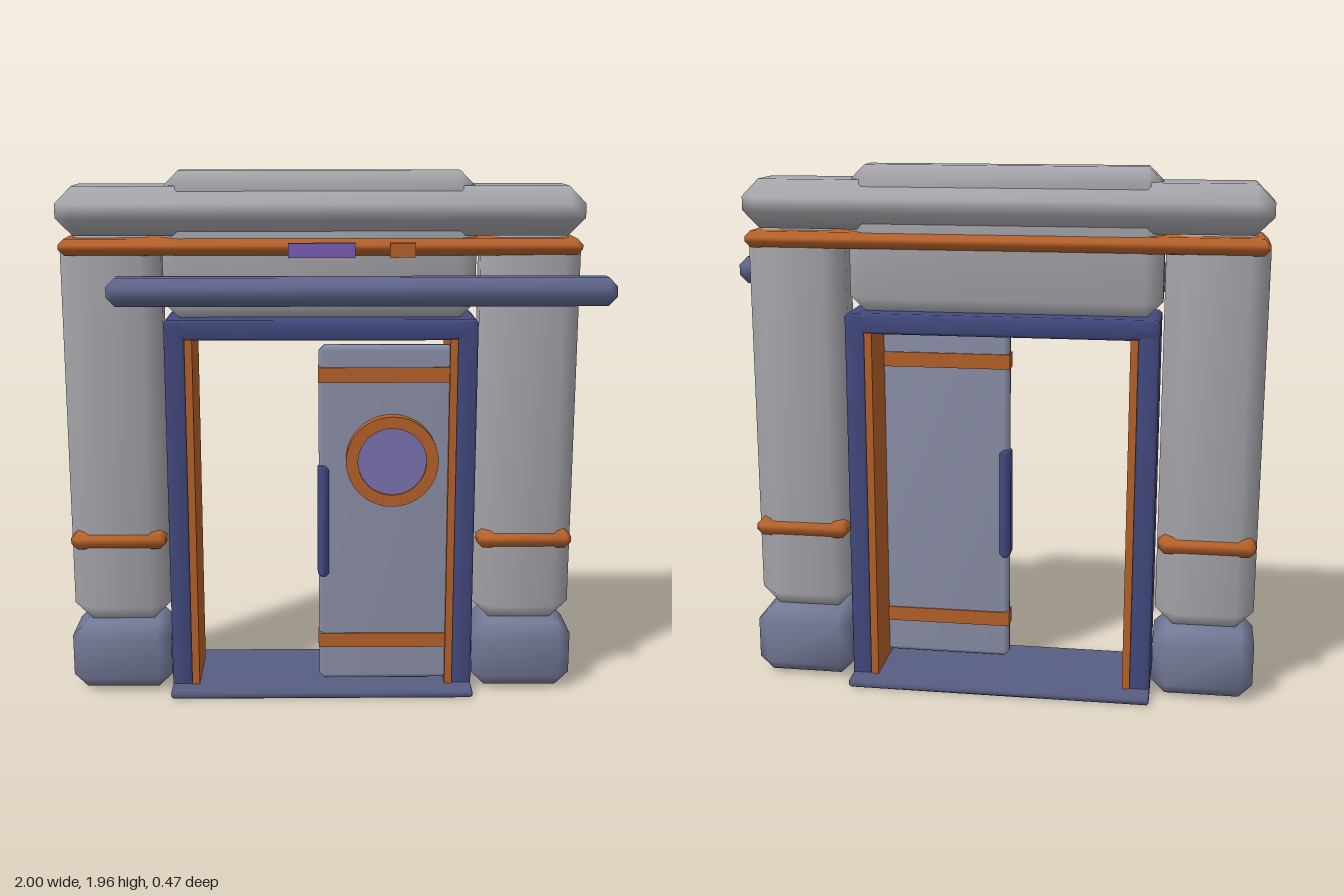
import * as THREE from 'three';
import { mergeVertices } from 'three/addons/utils/BufferGeometryUtils.js';
import { ConvexGeometry } from 'three/addons/geometries/ConvexGeometry.js';

const mat = (color) => new THREE.MeshStandardMaterial({ color });
const M = {
  stone: mat(0xa6a6ac), base: mat(0x747a98), frame: mat(0x434a80), sill: mat(0x585e82),
  beam: mat(0x5f668c), door: mat(0x8c90a8), copper: mat(0xb8622a), purple: mat(0x7d5fb8), glass: mat(0x7a74b0),
};

// Box between two limits per axis, with every edge chamfered by b
function chamferBox(name, material, [x0, x1], [y0, y1], [z0, z1], b = 0) {
  const w = (x1 - x0) / 2, h = (y1 - y0) / 2, d = (z1 - z0) / 2;
  let geo;
  if (b > 0) {
    const pts = [];
    for (const i of [-1, 1]) for (const j of [-1, 1]) for (const k of [-1, 1]) {
      pts.push(
        new THREE.Vector3(i * w, j * (h - b), k * (d - b)),
        new THREE.Vector3(i * (w - b), j * h, k * (d - b)),
        new THREE.Vector3(i * (w - b), j * (h - b), k * d));
    }
    geo = new ConvexGeometry(pts);
    geo.deleteAttribute('normal');
    geo = mergeVertices(geo, 1e-4);
    geo.computeVertexNormals();
  } else {
    geo = new THREE.BoxGeometry(2 * w, 2 * h, 2 * d);
  }
  const mesh = new THREE.Mesh(geo, material);
  mesh.name = name;
  mesh.position.set((x0 + x1) / 2, (y0 + y1) / 2, (z0 + z1) / 2);
  return mesh;
}

function createPier(name, x0, x1) {
  const g = new THREE.Group();
  g.name = name;
  g.add(
    chamferBox('pierBase', M.base, [x0 - 0.005, x1 + 0.005], [0.008, 0.265], [-0.17, 0.13], 0.05),
    chamferBox('pierShaft', M.stone, [x0, x1], [0.26, 1.74], [-0.13, 0.09], 0.068),
    chamferBox('pierBand', M.copper, [x0 + 0.005, x1 - 0.005], [0.56, 0.625], [-0.145, 0.105], 0.022));
  return g;
}

function createFrame() {
  const g = new THREE.Group();
  g.name = 'doorFrame';
  const z = [-0.155, 0.115];
  g.add(
    chamferBox('jambRight', M.frame, [-0.62, -0.543], [0.01, 1.43], z, 0.012),
    chamferBox('jambLeft', M.frame, [0.443, 0.52], [0.01, 1.43], z, 0.012),
    chamferBox('frameHead', M.frame, [-0.62, 0.52], [1.355, 1.43], z, 0.012),
    chamferBox('linerRight', M.copper, [-0.545, -0.517], [0.025, 1.36], [-0.161, 0.121]),
    chamferBox('linerLeft', M.copper, [0.418, 0.446], [0.025, 1.36], [-0.161, 0.121]),
    chamferBox('sill', M.sill, [-0.62, 0.52], [0, 0.03], [-0.235, 0.195], 0.008));
  return g;
}

function createDoor() {
  const g = new THREE.Group();
  g.name = 'door';
  g.add(
    chamferBox('doorLeaf', M.door, [-0.06, 0.44], [0.04, 1.335], [0.045, 0.1], 0.02),
    chamferBox('handle', M.frame, [-0.065, -0.022], [0.455, 0.885], [0.03, 0.118], 0.014));
  for (const y of [0.2, 1.227])
    g.add(chamferBox('strap', M.copper, [-0.062, 0.443], [y - 0.028, y + 0.028], [0.039, 0.106]));

  // Porthole on the front face
  const sides = 20;
  const ring = new THREE.Shape().absarc(0, 0, 0.17, 0, Math.PI * 2);
  ring.holes.push(new THREE.Path().absarc(0, 0, 0.126, 0, Math.PI * 2, true));
  const rim = new THREE.Mesh(
    new THREE.ExtrudeGeometry(ring, { depth: 0.05, bevelEnabled: false, curveSegments: sides }), M.copper);
  rim.name = 'portholeRim';
  rim.position.set(0.21, 0.91, 0.095);
  const glass = new THREE.Mesh(new THREE.CylinderGeometry(0.128, 0.128, 0.04, sides), M.glass);
  glass.name = 'portholeGlass';
  glass.rotation.x = Math.PI / 2;
  glass.position.set(0.21, 0.91, 0.115);
  g.add(rim, glass);
  return g;
}

export function createModel() {
  const model = new THREE.Group();
  model.name = 'gateway';
  model.add(
    createPier('pierRight', -0.995, -0.63),
    createPier('pierLeft', 0.53, 0.895),
    // Wall block over the opening, rising through the cap
    chamferBox('lintel', M.stone, [-0.625, 0.515], [1.42, 1.957], [-0.13, 0.085], 0.063),
    chamferBox('cap', M.stone, [-1, 0.9], [1.728, 1.905], [-0.17, 0.13], 0.063),
    chamferBox('capBand', M.copper, [-0.99, 0.89], [1.66, 1.72], [-0.15, 0.11], 0.022),
    chamferBox('frontBeam', M.beam, [-0.81, 1], [1.49, 1.592], [0.098, 0.222], 0.032),
    chamferBox('purplePlate', M.purple, [-0.165, 0.07], [1.667, 1.717], [0.212, 0.236]),
    chamferBox('copperPlate', M.copper, [0.19, 0.28], [1.667, 1.717], [0.212, 0.236]),
    createFrame(),
    createDoor());
  return model;
}
